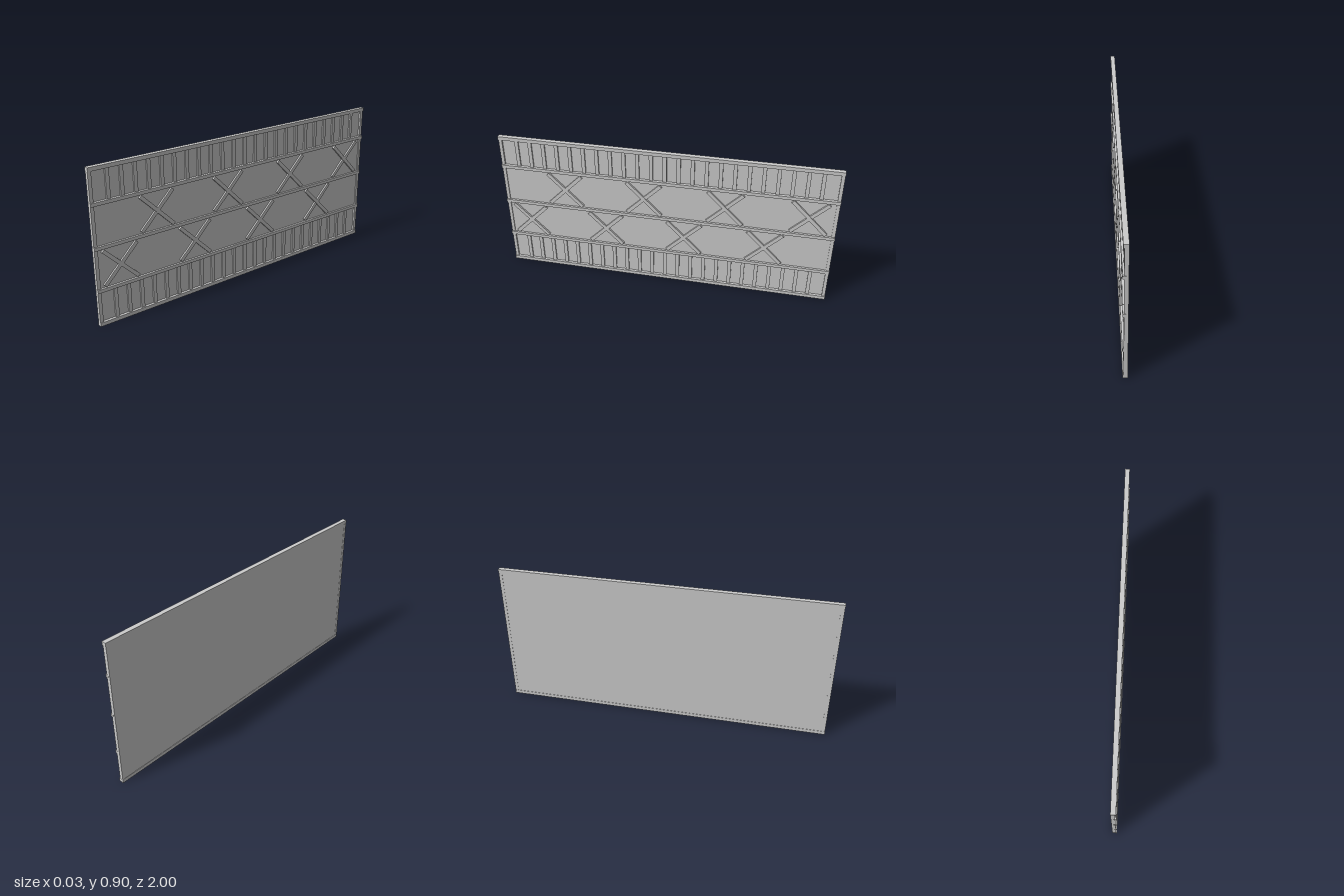
import * as THREE from 'three';

export function createModel() {
  const model = new THREE.Group();
  const material = new THREE.MeshStandardMaterial({ color: 0xcccccc, flatShading: true });

  // Box given by its limits on each axis
  function slab(name, [x0, x1], [y0, y1], [z0, z1]) {
    const mesh = new THREE.Mesh(new THREE.BoxGeometry(x1 - x0, y1 - y0, z1 - z0), material);
    mesh.position.set((x0 + x1) / 2, (y0 + y1) / 2, (z0 + z1) / 2);
    mesh.name = name;
    model.add(mesh);
    return mesh;
  }

  // Wall sheet and the raised plate between the outer rails
  slab('wallSheet', [-0.014, -0.004], [0.01, 0.89], [-0.99, 0.99]);
  slab('middlePlate', [-0.005, 0.001], [0.21, 0.7], [-0.985, 0.985]);

  // Frame: top and bottom caps, end posts
  slab('bottomCap', [-0.016, 0.012], [0, 0.022], [-1, 1]);
  slab('topCap', [-0.016, 0.012], [0.878, 0.9], [-1, 1]);
  for (const side of [-1, 1]) {
    const post = slab('endPost', [-0.0155, 0.007], [0.022, 0.878], [-0.01, 0.01]);
    post.position.z = side * 0.989;
  }

  // Long horizontal rails
  for (const y of [0.21, 0.455, 0.7]) {
    slab('horizontalRail', [-0.004, 0.014], [y - 0.01, y + 0.01], [-1, 1]);
  }

  // Short upright ribs above and below the plate
  const ribCount = 23;
  for (let i = 0; i < ribCount; i++) {
    const z = (i - (ribCount - 1) / 2) * 0.081;
    slab('lowerRib', [-0.005, 0.005], [0.022, 0.2], [z - 0.011, z + 0.011]);
    slab('upperRib', [-0.005, 0.005], [0.71, 0.878], [z - 0.011, z + 0.011]);
  }

  // Crossed diagonal braces, the two rows staggered
  function crossBrace(y, z) {
    for (const [angle, front] of [[-Math.PI / 4, 0.013], [Math.PI / 4, 0.012]]) {
      const bar = slab('diagonalBrace', [0, front], [-0.011, 0.011], [-0.145, 0.145]);
      bar.position.y = y;
      bar.position.z = z;
      bar.rotation.x = angle;
    }
  }
  for (let i = 0; i < 4; i++) {
    crossBrace(0.577, 0.61 - i * 0.484);
    crossBrace(0.332, 0.85 - i * 0.484);
  }

  return model;
}
